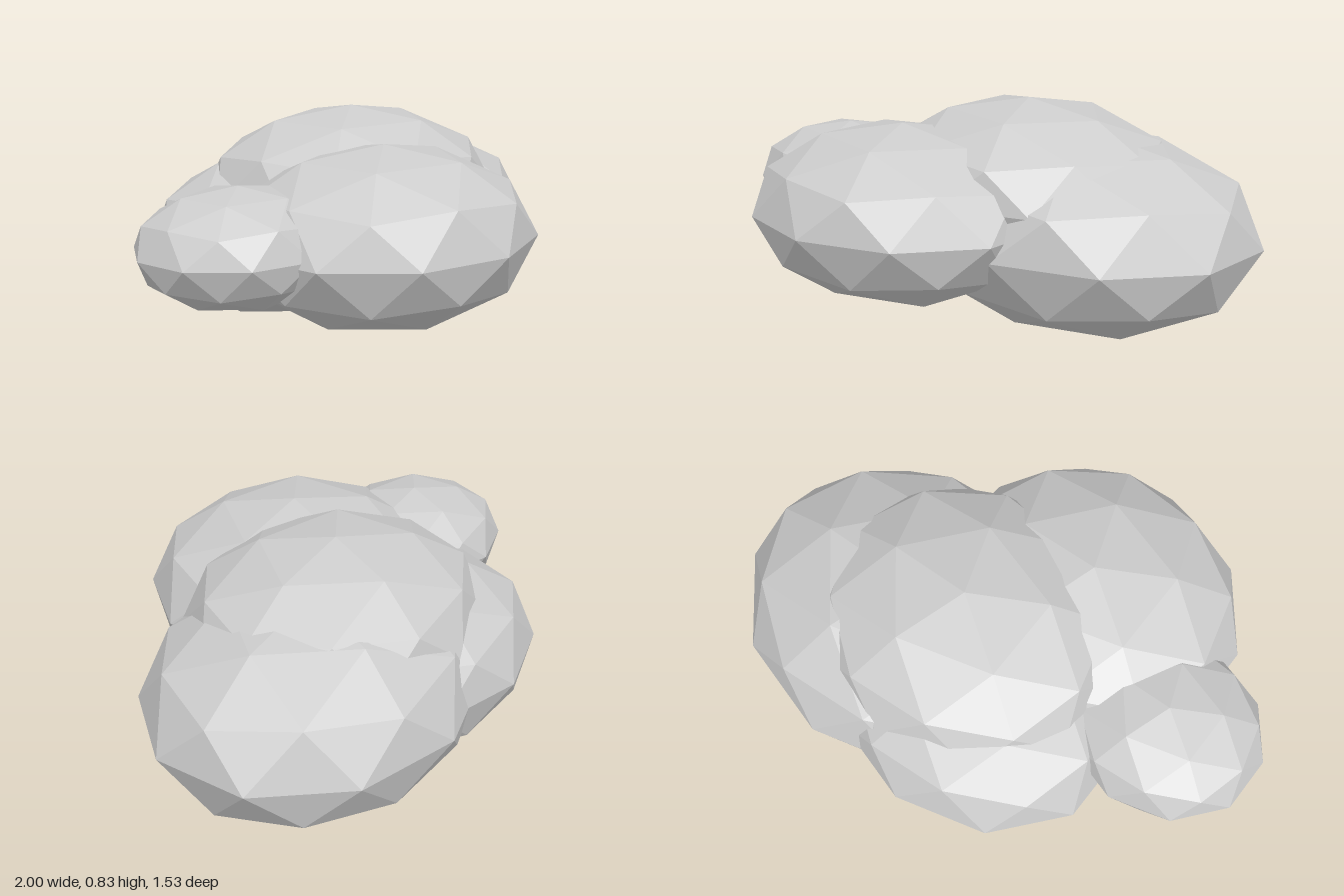
import * as THREE from 'three';

// Faceted unit ball with a corner at each pole and an upper-ring corner towards +x
function facetedBall() {
  const g = new THREE.IcosahedronGeometry(1, 1);
  g.rotateZ(-Math.atan(2 / (1 + Math.sqrt(5))));
  return g;
}

export function createModel() {
  const group = new THREE.Group();
  group.name = 'cloud';
  const cloudGrey = new THREE.MeshStandardMaterial({ color: 0xcccccc, flatShading: true });
  cloudGrey.name = 'cloudGrey';

  // Flattened puffs: centre and radii
  const puffs = [
    { name: 'frontPuff', centre: [-0.14, 0.44, 0.24], radii: [0.584, 0.323, 0.525] },
    { name: 'smallRightPuff', centre: [-0.64, 0.458, 0.015], radii: [0.379, 0.208, 0.335] },
    { name: 'largeLeftPuff', centre: [0.37, 0.37, -0.195], radii: [0.662, 0.367, 0.567] },
    { name: 'backPuff', centre: [-0.03, 0.372, -0.28], radii: [0.57, 0.315, 0.49] },
    { name: 'topPuff', centre: [0.14, 0.525, -0.135], radii: [0.59, 0.312, 0.52] },
  ];

  for (const { name, centre, radii } of puffs) {
    const geometry = facetedBall().scale(...radii);
    geometry.computeVertexNormals();
    const puff = new THREE.Mesh(geometry, cloudGrey);
    puff.name = name;
    puff.position.set(...centre);
    group.add(puff);
  }
  return group;
}
